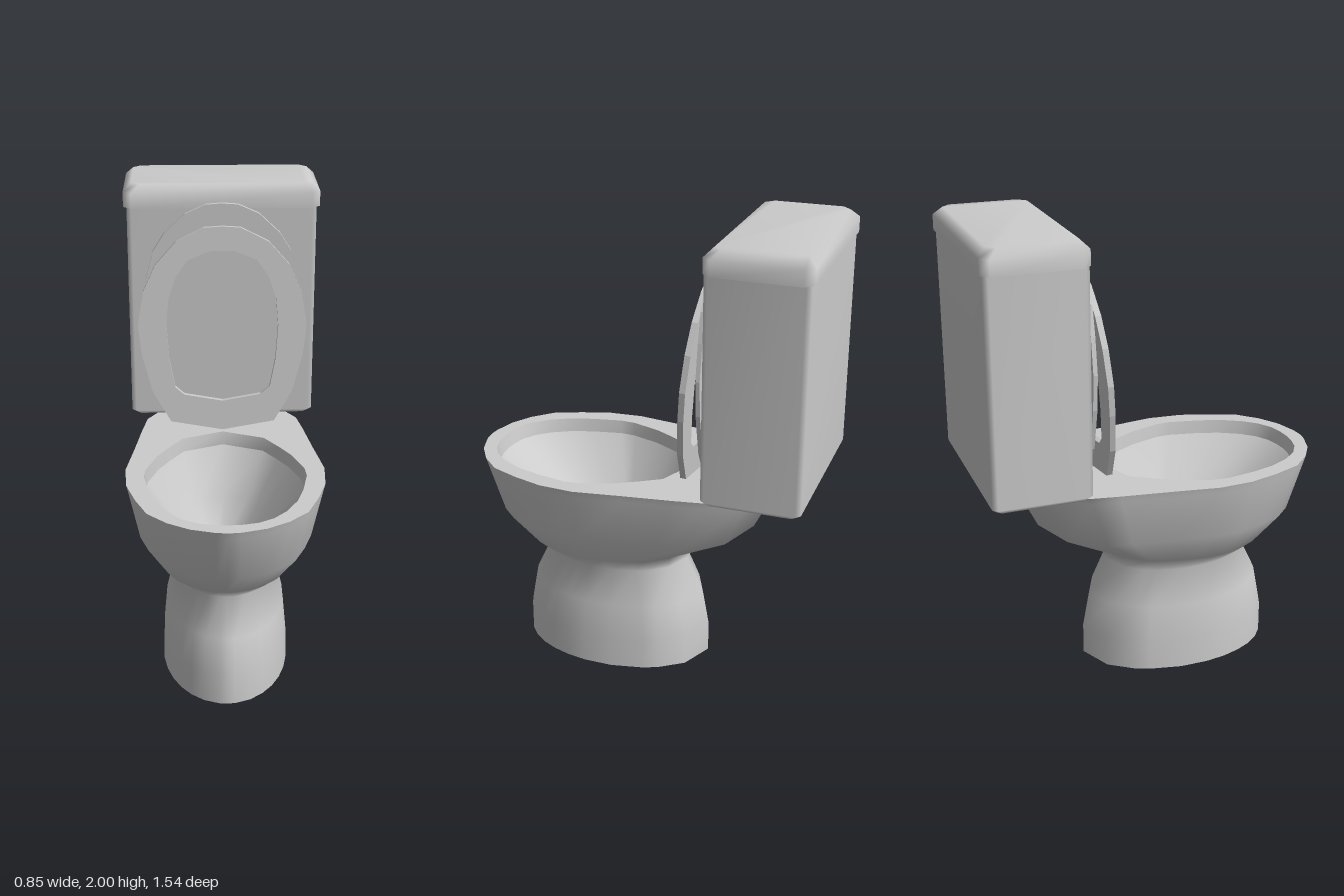
import * as THREE from 'three';

const material = new THREE.MeshStandardMaterial({ color: 0xcccccc, side: THREE.DoubleSide });

// Closes a half outline (front to back on the +x side) into a symmetric loop of [x, z].
const mirror = (half) =>
  half.concat(half.filter((p) => p[0] > 0).reverse().map(([x, z]) => [-x, z]));

// Skins a list of rings { y, pts } with quads; caps are optional.
function loft(name, rings, capStart = false, capEnd = false) {
  const n = rings[0].pts.length;
  const pos = rings.flatMap((r) => r.pts.flatMap(([x, z]) => [x, r.y, z]));
  const idx = [];
  for (let j = 0; j < rings.length - 1; j++) {
    for (let i = 0; i < n; i++) {
      const a = j * n + i, b = j * n + ((i + 1) % n);
      idx.push(a, b, b + n, a, b + n, a + n);
    }
  }
  const last = (rings.length - 1) * n;
  for (let i = 1; i < n - 1; i++) {
    if (capStart) idx.push(0, i + 1, i);
    if (capEnd) idx.push(last, last + i, last + i + 1);
  }
  const geo = new THREE.BufferGeometry();
  geo.setAttribute('position', new THREE.Float32BufferAttribute(pos, 3));
  geo.setIndex(idx);
  geo.computeVertexNormals();
  const mesh = new THREE.Mesh(geo, material);
  mesh.name = name;
  return mesh;
}

// Rectangle with cut corners, for the tank and its lid.
function cutRect(w, zBack, zFront, cut, inset = 0) {
  const x = w - inset, b = zBack + inset, f = zFront - inset;
  return mirror([[x - cut, f], [x, f - cut], [x, b + cut], [x - cut, b]]);
}

// Flat slab from a symmetric [x, y] outline, with an optional hole.
function slab(name, outline, depth, hole) {
  const toVec = (half) => mirror(half).map(([x, y]) => new THREE.Vector2(x, y));
  const shape = new THREE.Shape(toVec(outline));
  if (hole) shape.holes.push(new THREE.Path(toVec(hole)));
  const geo = new THREE.ExtrudeGeometry(shape, { depth, bevelEnabled: false });
  const mesh = new THREE.Mesh(geo, material);
  mesh.name = name;
  return mesh;
}

export function createModel() {
  const model = new THREE.Group();
  model.name = 'toilet';

  // Rim outlines, outer and inner
  const outer = mirror([
    [0, 0.77], [0.05, 0.765], [0.15, 0.735], [0.24, 0.68], [0.32, 0.6], [0.37, 0.48], [0.41, 0.35],
    [0.42, 0.2], [0.39, 0], [0.36, -0.22], [0.34, -0.34], [0.23, -0.52], [0, -0.6],
  ]);
  const inner = mirror([
    [0, 0.705], [0.06, 0.7], [0.12, 0.685], [0.18, 0.65], [0.235, 0.59], [0.285, 0.5], [0.315, 0.4],
    [0.34, 0.27], [0.335, 0.2], [0.29, 0.07], [0.24, -0.02], [0.18, -0.115], [0, -0.19],
  ]);

  // Pedestal and bowl shell: ellipse at the foot blending into the rim outline
  // [y, back z, front z, half width, share of rim outline]
  const levels = [
    [0, -0.275, 0.58, 0.275, 0], [0.14, -0.275, 0.58, 0.272, 0], [0.3, -0.245, 0.55, 0.257, 0],
    [0.46, -0.17, 0.475, 0.22, 0], [0.53, -0.19, 0.555, 0.285, 0.4], [0.67, -0.47, 0.69, 0.37, 0.85],
    [0.89, -0.58, 0.76, 0.413, 1], [0.92, -0.6, 0.77, 0.42, 1],
  ];
  model.add(loft('bowlAndPedestal', levels.map(([y, zb, zf, w, k]) => ({
    y,
    pts: outer.map(([x, z]) => {
      const u = x / 0.42, v = (z - 0.085) / 0.685, s = k + (1 - k) / Math.hypot(u, v);
      return [u * s * w, (zb + zf) / 2 + v * s * (zf - zb) / 2];
    }),
  }))));

  // Flat rim
  model.add(loft('rim', [{ y: 0.92, pts: outer }, { y: 0.92, pts: inner }]));

  // Basin narrowing to an open drain: [y, progress towards the drain]
  const drain = inner.map(([x, z]) => {
    const u = x / 0.34, v = (z - 0.2575) / 0.4475, l = Math.hypot(u, v);
    return [0.068 * u / l, 0.135 + 0.085 * v / l];
  });
  const basin = [[0.92, 0], [0.86, 0.03], [0.66, 0.5], [0.5, 1]].map(([y, t]) => ({
    y,
    pts: inner.map(([x, z], i) => [x + (drain[i][0] - x) * t, z + (drain[i][1] - z) * t]),
  }));
  model.add(loft('innerLip', basin.slice(0, 2)), loft('basin', basin.slice(1)));

  // Tank with softened edges, and its overhanging lid
  const tank = (inset) => cutRect(0.41, -0.76, -0.345, 0.02, inset);
  model.add(loft('tank', [
    { y: 0.94, pts: tank(0.02) }, { y: 0.96, pts: tank(0) }, { y: 1.91, pts: tank(0) },
  ], true));
  const lid = (inset) => cutRect(0.425, -0.77, -0.34, 0.035, inset);
  model.add(
    loft('tankLid', [
      { y: 1.9, pts: lid(0) }, { y: 1.965, pts: lid(0) }, { y: 2, pts: lid(0.035) },
    ], false, true),
    loft('tankLidUnderside', [{ y: 1.9, pts: tank(0) }, { y: 1.9, pts: lid(0) }]),
  );

  // Raised seat ring, leaning back
  const seat = slab('seat',
    [[0, 0.915], [0.08, 0.91], [0.2, 0.85], [0.29, 0.75], [0.345, 0.63], [0.37, 0.48],
      [0.355, 0.35], [0.31, 0.18], [0.23, 0.04], [0, 0]], 0.025,
    [[0.05, 0.81], [0.15, 0.77], [0.2, 0.7], [0.235, 0.6], [0.245, 0.48],
      [0.235, 0.33], [0.21, 0.2], [0.17, 0.165], [0, 0.135]]);
  seat.position.set(0, 0.922, -0.23);
  seat.rotation.x = -0.085;
  model.add(seat);

  // Raised cover behind the seat
  const cover = slab('cover',
    [[0, 1.93], [0.07, 1.925], [0.16, 1.885], [0.25, 1.8], [0.3, 1.72], [0.33, 1.6], [0.355, 1.45],
      [0.345, 1.3], [0.3, 1.12], [0.22, 0.98], [0, 0.94]], 0.018);
  cover.position.z = -0.325;
  model.add(cover);

  return model;
}
